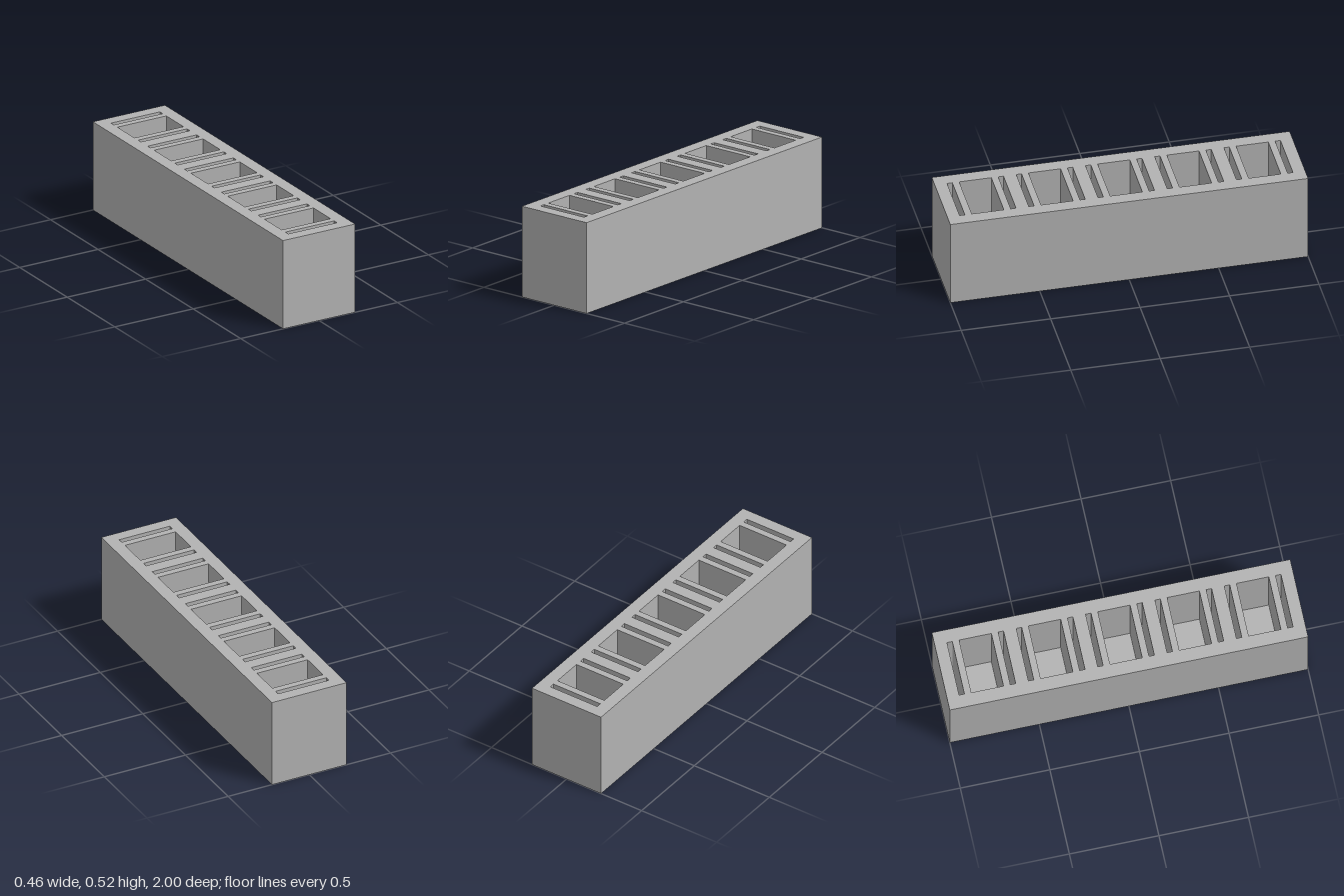
import * as THREE from 'three';

const WIDTH = 0.46, HEIGHT = 0.52, LENGTH = 2;
const POCKET_WIDTH = 0.312, FLOOR = 0.07;
const PITCH = 0.387, BAYS = 5;

// Box without its top face; "inward" turns the faces to look inside
function openBox(w, h, d, inward) {
  const geo = new THREE.BoxGeometry(w, h, d);
  const index = Array.from(geo.index.array);
  index.splice(12, 6);
  if (inward) index.reverse();
  geo.clearGroups();
  geo.setIndex(index);
  const flat = geo.toNonIndexed();
  flat.computeVertexNormals();
  return flat;
}

export function createModel() {
  const grey = new THREE.MeshStandardMaterial({ color: 0xb2b2b2 });
  grey.name = 'grey';
  const group = new THREE.Group();
  group.name = 'rack';
  const add = (name, geo, y, z) => {
    const mesh = new THREE.Mesh(geo, grey);
    mesh.name = name;
    mesh.position.set(0, y, z);
    group.add(mesh);
    return mesh;
  };

  // Each bay: a wide pocket between two narrow slots
  const pockets = [];
  for (let i = 0; i < BAYS; i++) {
    const z = (i - (BAYS - 1) / 2) * PITCH;
    pockets.push({ name: 'slot', z: z - 0.143, d: 0.03 });
    pockets.push({ name: 'pocket', z, d: 0.18 });
    pockets.push({ name: 'slot', z: z + 0.143, d: 0.03 });
  }

  // Outer walls and base
  add('body', openBox(WIDTH, HEIGHT, LENGTH, false), HEIGHT / 2, 0);

  // Top face with openings
  const rect = (path, w, d, z) => {
    path.moveTo(-w / 2, -z - d / 2);
    path.lineTo(w / 2, -z - d / 2);
    path.lineTo(w / 2, -z + d / 2);
    path.lineTo(-w / 2, -z + d / 2);
    path.closePath();
    return path;
  };
  const top = rect(new THREE.Shape(), WIDTH, LENGTH, 0);
  for (const p of pockets) top.holes.push(rect(new THREE.Path(), POCKET_WIDTH, p.d, p.z));
  add('topFace', new THREE.ShapeGeometry(top).rotateX(-Math.PI / 2), HEIGHT, 0);

  // Pocket and slot linings
  const depth = HEIGHT - FLOOR;
  for (const p of pockets) {
    add(p.name, openBox(POCKET_WIDTH, depth, p.d, true), FLOOR + depth / 2, p.z);
  }
  return group;
}
